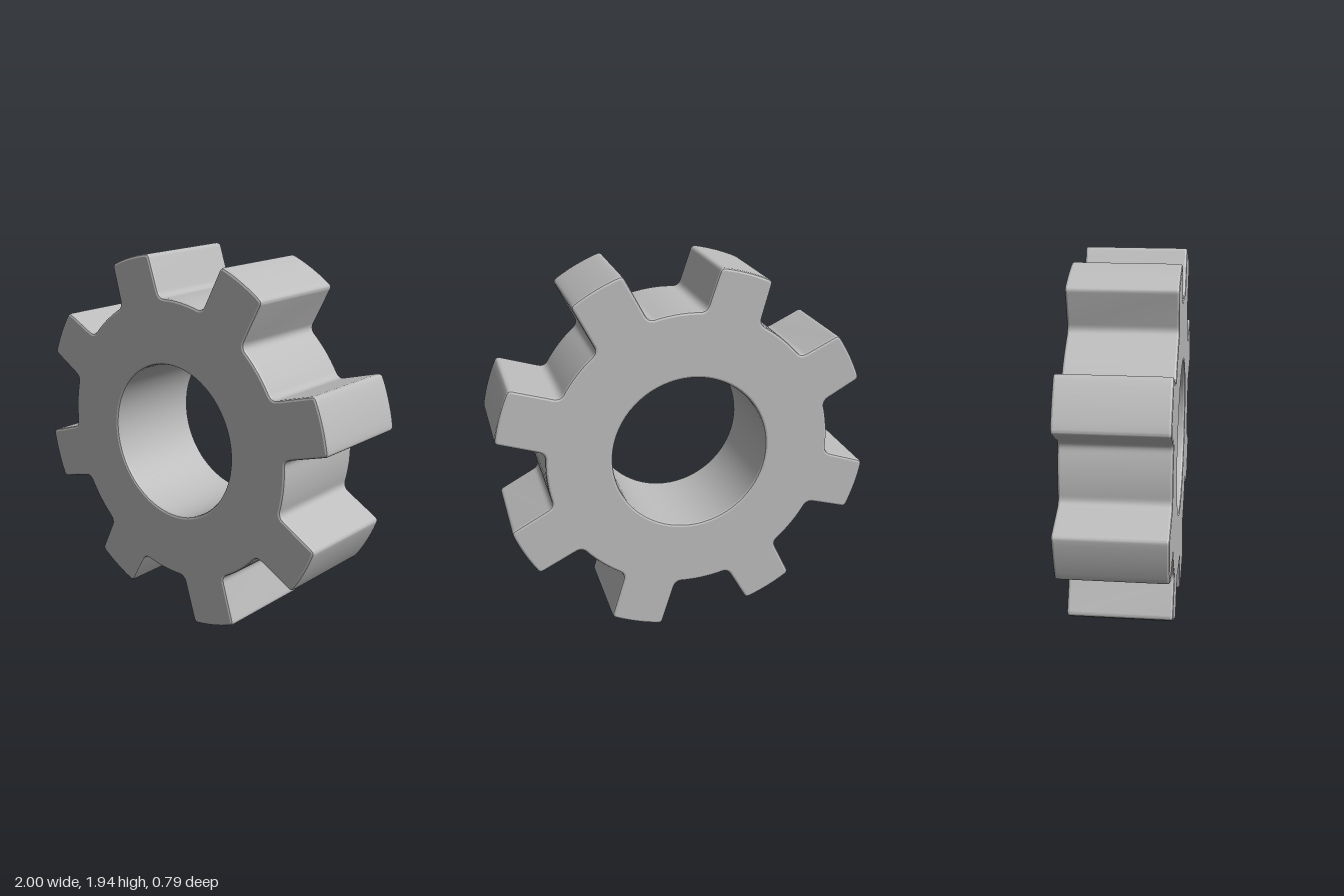
import * as THREE from 'three';
import { toCreasedNormals } from 'three/addons/utils/BufferGeometryUtils.js';

const ROOT = 0.747, HOLE = 0.407, DEPTH = 0.545, BEVEL = 0.013;
// Tip radius of each tooth, counter-clockwise from the right-hand one
const TIPS = [1.003, 1.006, 0.968, 0.967, 0.976, 0.967, 1.007, 0.993];
const rad = THREE.MathUtils.degToRad;

// Outline points of the gear; trim is how far a corner is cut back for its fillet
function outlinePoints() {
  const points = [];
  const add = (r, deg, trim = 0) =>
    points.push({ p: new THREE.Vector2(r * Math.cos(rad(deg)), r * Math.sin(rad(deg))), trim });
  TIPS.forEach((tip, i) => {
    const mid = 17.2 + i * 45;
    add(ROOT, mid - 11.2, 0.035);
    add(tip, mid - 8.2, 0.022);
    for (let k = -2; k <= 2; k++) add(tip, mid + k * 2.6);
    add(tip, mid + 8.2, 0.022);
    add(ROOT, mid + 11.2, 0.035);
    for (let k = -2; k <= 2; k++) add(ROOT, mid + 22.5 + k * 3.6);
  });
  return points;
}

// Closed shape with filleted corners
function gearShape() {
  const pts = outlinePoints();
  const shape = new THREE.Shape();
  const cut = (from, to, d) => from.clone().add(to.clone().sub(from).setLength(d));
  pts.forEach(({ p, trim }, i) => {
    const prev = pts[(i + pts.length - 1) % pts.length].p;
    const next = pts[(i + 1) % pts.length].p;
    const a = trim ? cut(p, prev, trim) : p;
    if (i === 0) shape.moveTo(a.x, a.y);
    else shape.lineTo(a.x, a.y);
    if (trim) {
      const b = cut(p, next, trim);
      shape.quadraticCurveTo(p.x, p.y, b.x, b.y);
    }
  });
  shape.closePath();
  return shape;
}

export function createModel() {
  const model = new THREE.Group();
  model.name = 'gear';
  const grey = new THREE.MeshStandardMaterial({ color: 0xbcbcbc });
  grey.name = 'grey';

  // Toothed ring with a round bore
  const shape = gearShape();
  const bore = new THREE.Path();
  const borePoints = [];
  for (let i = 0; i < 72; i++) {
    const a = -i / 72 * Math.PI * 2;
    borePoints.push(new THREE.Vector2(HOLE * Math.cos(a), HOLE * Math.sin(a)));
  }
  bore.setFromPoints(borePoints);
  bore.closePath();
  shape.holes.push(bore);

  const geometry = new THREE.ExtrudeGeometry(shape, {
    depth: DEPTH - 2 * BEVEL, curveSegments: 5,
    bevelEnabled: true, bevelSize: BEVEL, bevelThickness: BEVEL,
    bevelOffset: -BEVEL, bevelSegments: 2,
  });
  geometry.translate(0, 0, -DEPTH / 2 + BEVEL);
  const ring = new THREE.Mesh(toCreasedNormals(geometry, 0.38), grey);
  ring.name = 'toothedRing';
  ring.position.set(-0.012, 1, 0);
  ring.rotation.y = -0.129; // turned slightly to its right
  model.add(ring);
  return model;
}
